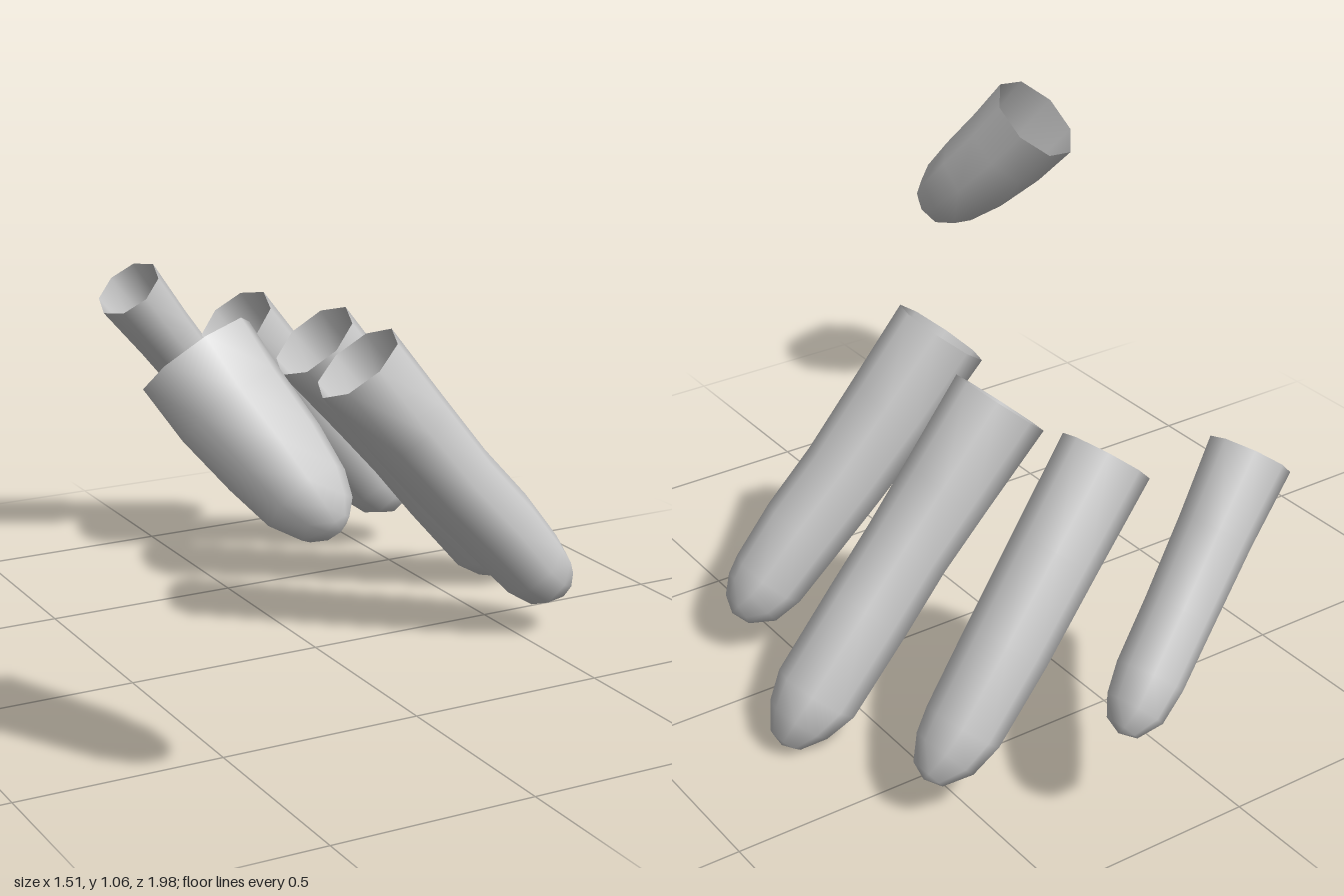
import * as THREE from 'three';

const SIDES = 8;

// Stations run from the open cuff to the tip: [x, y, z, radius]
const FINGERS = {
  thumb: [
    [-0.635, 0.975, 0.68, 0.132], [-0.59, 0.88, 0.75, 0.126], [-0.535, 0.785, 0.83, 0.115],
    [-0.5, 0.715, 0.9, 0.098], [-0.478, 0.68, 0.945, 0.068], [-0.468, 0.665, 0.965, 0.035],
  ],
  indexFinger: [
    [0.055, 0.75, 0.11, 0.12], [0.19, 0.58, 0.128, 0.115], [0.318, 0.425, 0.145, 0.108],
    [0.433, 0.3, 0.16, 0.105], [0.53, 0.185, 0.172, 0.096], [0.575, 0.145, 0.176, 0.082],
    [0.618, 0.125, 0.177, 0.045],
  ],
  middleFinger: [
    [0.12, 0.725, -0.232, 0.12], [0.27, 0.55, -0.23, 0.11], [0.38, 0.42, -0.228, 0.104],
    [0.49, 0.29, -0.23, 0.105], [0.64, 0.12, -0.236, 0.103], [0.69, 0.067, -0.236, 0.08],
    [0.728, 0.025, -0.236, 0.042],
  ],
  ringFinger: [
    [0.06, 0.715, -0.558, 0.109], [0.22, 0.53, -0.587, 0.104], [0.37, 0.36, -0.617, 0.1],
    [0.5, 0.205, -0.635, 0.092], [0.55, 0.155, -0.638, 0.078], [0.597, 0.12, -0.64, 0.042],
  ],
  littleFinger: [
    [-0.135, 0.775, -0.815, 0.095], [-0.02, 0.635, -0.846, 0.085], [0.1, 0.49, -0.88, 0.08],
    [0.2, 0.378, -0.91, 0.078], [0.25, 0.322, -0.925, 0.068], [0.288, 0.29, -0.93, 0.04],
  ],
};

// Sweeps an eight-sided ring along the stations and closes the tip
function fingerGeometry(stations) {
  const centres = stations.map(([x, y, z]) => new THREE.Vector3(x, y, z));
  const last = centres.length - 1;
  const positions = [];
  const index = [];
  const tangent = new THREE.Vector3();

  centres.forEach((centre, i) => {
    tangent.subVectors(centres[Math.min(i + 1, last)], centres[Math.max(i - 1, 0)]).normalize();
    const u = new THREE.Vector3(0, 0, 1).projectOnPlane(tangent).normalize();
    const v = new THREE.Vector3().crossVectors(tangent, u);
    for (let j = 0; j < SIDES; j++) {
      const a = (j / SIDES) * Math.PI * 2;
      const r = stations[i][3];
      const p = centre.clone().addScaledVector(u, Math.cos(a) * r).addScaledVector(v, Math.sin(a) * r);
      positions.push(p.x, p.y, p.z);
      if (i < last) {
        const k = (j + 1) % SIDES;
        const s = i * SIDES;
        index.push(s + j, s + k, s + SIDES + j, s + k, s + SIDES + k, s + SIDES + j);
      }
    }
  });

  // Rounded fingertip
  const tip = centres[last].clone().addScaledVector(tangent, stations[last][3] * 0.35);
  positions.push(tip.x, tip.y, tip.z);
  for (let j = 0; j < SIDES; j++) {
    index.push(last * SIDES + j, last * SIDES + ((j + 1) % SIDES), (last + 1) * SIDES);
  }

  const geometry = new THREE.BufferGeometry();
  geometry.setAttribute('position', new THREE.Float32BufferAttribute(positions, 3));
  geometry.setIndex(index);
  geometry.computeVertexNormals();
  return geometry;
}

export function createModel() {
  const group = new THREE.Group();
  group.name = 'fingerSleeves';
  const material = new THREE.MeshStandardMaterial({ color: 0xcccccc, side: THREE.DoubleSide });
  for (const [name, stations] of Object.entries(FINGERS)) {
    const mesh = new THREE.Mesh(fingerGeometry(stations), material);
    mesh.name = name;
    group.add(mesh);
  }
  return group;
}
